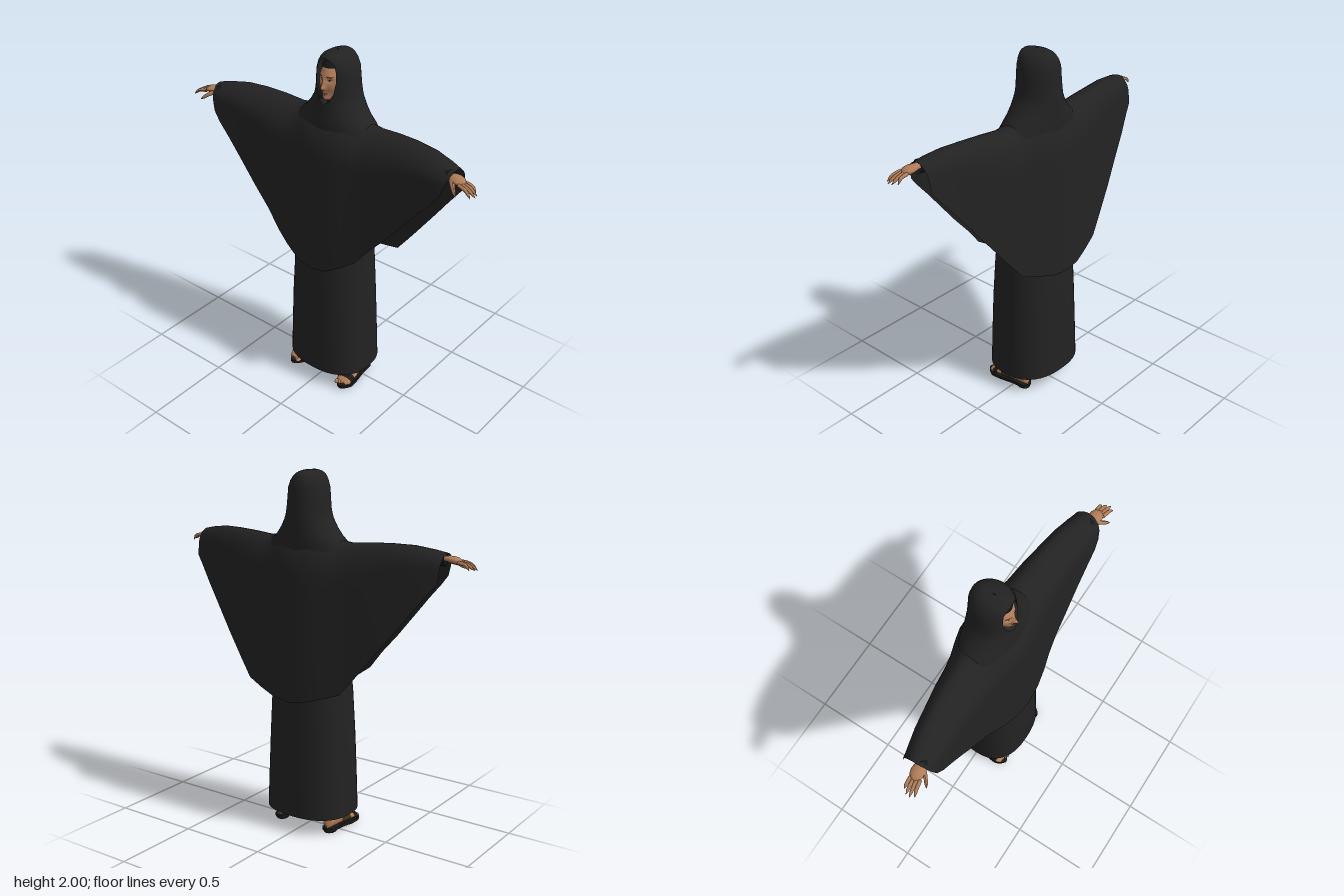
import * as THREE from 'three';

const mat = (name, color) => {
  const m = new THREE.MeshStandardMaterial({ color, side: THREE.DoubleSide });
  m.name = name;
  return m;
};
const M = {
  cloth: mat('blackCloth', 0x222222),
  under: mat('underCloth', 0x151515),
  skin: mat('skin', 0xb07c58),
  lips: mat('lips', 0x8e5844),
  eyeWhite: mat('eyeWhite', 0xb9a793),
  dark: mat('darkBrown', 0x2a1c14),
  sole: mat('soleBlack', 0x1b1a19),
  strap: mat('strapOlive', 0x43361f),
};

const add = (parent, name, geo, material) => {
  const mesh = new THREE.Mesh(geo, material);
  mesh.name = name;
  parent.add(mesh);
  return mesh;
};

// Skin a surface over rows of points; closed rows wrap around.
function loft(rows, closed) {
  const n = rows[0].length, idx = [];
  for (let i = 0; i < rows.length - 1; i++) {
    for (let j = 0; j < (closed ? n : n - 1); j++) {
      const a = i * n + j, b = i * n + (j + 1) % n;
      idx.push(a, b, a + n, b, b + n, a + n);
    }
  }
  const g = new THREE.BufferGeometry();
  g.setAttribute('position', new THREE.Float32BufferAttribute(rows.flat(2), 3));
  g.setIndex(idx);
  g.computeVertexNormals();
  return g;
}

const lerp = THREE.MathUtils.lerp;
const sample = (list, t) => {
  const f = t * (list.length - 1), i = Math.min(Math.floor(f), list.length - 2);
  return lerp(list[i], list[i + 1], f - i);
};

// Tapered tube through points, optionally flattened in height.
function limb(points, radii, flat = 1, n = 14) {
  const curve = new THREE.CatmullRomCurve3(points.map(p => new THREE.Vector3(...p)));
  const g = new THREE.TubeGeometry(curve, n, 1, 10), pos = g.attributes.position;
  const v = new THREE.Vector3();
  for (let k = 0; k < pos.count; k++) {
    const t = Math.floor(k / 11) / n, c = curve.getPointAt(t);
    v.fromBufferAttribute(pos, k).sub(c).multiplyScalar(sample(radii, t));
    pos.setXYZ(k, c.x + v.x, c.y + v.y * flat, c.z + v.z);
  }
  g.computeVertexNormals();
  return g;
}

// Horizontal rounded ring: half width rx, from zb (back) to zf (front).
function ring(y, rx, zf, zb, power = 1, start = 0, n = 48, closed = true) {
  const out = [], steps = closed ? n : n + 1;
  for (let j = 0; j < steps; j++) {
    const a = start + (Math.PI * 2 - 2 * start) * j / n;
    const s = Math.sin(a), c = Math.cos(a);
    out.push([rx * Math.sign(s) * Math.abs(s) ** power, y,
      (zf + zb) / 2 + (zf - zb) / 2 * Math.sign(c) * Math.abs(c) ** power]);
  }
  return out;
}

// Cape: each station gives the ridge, front hem and back hem points.
function capeGeometry() {
  const half = [
    [0, 1.70, -.02, 0, .79, .22, 0, .77, -.22],
    [.06, 1.70, -.02, .1, .81, .215, .1, .785, -.217],
    [.12, 1.69, -.02, .19, .865, .2, .2, .815, -.195],
    [.19, 1.645, -.02, .27, .92, .18, .3, .85, -.17],
    [.26, 1.637, -.02, .35, 1.02, .17, .38, .95, -.15],
    [.38, 1.647, -.015, .45, 1.13, .165, .48, 1.08, -.125],
    [.5, 1.652, -.005, .55, 1.25, .16, .58, 1.21, -.095],
    [.62, 1.65, .015, .64, 1.36, .158, .67, 1.33, -.07],
    [.72, 1.635, .04, .71, 1.44, .157, .74, 1.42, -.045],
    [.79, 1.62, .06, .75, 1.49, .15, .785, 1.475, -.03],
  ];
  const mirrored = half.slice(1).reverse().map(s => s.map((v, i) => (i % 3 ? v : -v)));
  const rows = 18;
  return loft([...mirrored, ...half].map(s => {
    const [tx, ty, tz] = s, line = [];
    const reach = lerp(.25, .08, Math.min(1, Math.abs(tx) / .7));
    for (let i = -rows; i <= rows; i++) {
      const [hx, hy, hz] = i < 0 ? s.slice(3, 6) : s.slice(6, 9);
      const v = (Math.abs(i) / rows) ** 1.7;
      const k = Math.min(1, v * (ty - hy) / reach);
      const out = Math.sqrt(1 - (1 - k) ** 2) * (.75 + .25 * v);
      line.push([lerp(tx, hx, v), lerp(ty, hy, v), lerp(tz, hz, out)]);
    }
    return line;
  }), false);
}

// Hood rings: height, half width, front, back, half width of face opening.
function hoodGeometry() {
  return loft([
    [1.55, .27, .13, -.15, 0], [1.62, .238, .125, -.15, 0], [1.66, .192, .118, -.148, 0],
    [1.70, .16, .112, -.147, 0], [1.738, .137, .107, -.146, 0], [1.76, .127, .104, -.145, .032],
    [1.80, .118, .1, -.143, .052], [1.86, .112, .1, -.14, .062], [1.91, .107, .098, -.138, .061],
    [1.945, .094, .095, -.13, .052], [1.968, .078, .09, -.118, .03], [1.978, .068, .085, -.11, 0],
    [1.99, .048, .068, -.092, 0], [1.997, .028, .045, -.07, 0], [2, .001, 0, -.02, 0],
  ].map(([y, rx, zf, zb, o]) => ring(y, rx, zf, zb, 1, Math.asin(o / rx), 48, false)), false);
}

// Face relief: nose, eye sockets, lips and chin as soft bumps.
const bump = (x, y, cx, cy, w, h) => Math.exp(-(((x - cx) / w) ** 2) - ((y - cy) / h) ** 2);
const relief = (x, y) => {
  const ax = Math.abs(x);
  return .022 * bump(x, y, 0, 1.828, .012, .014) + .012 * bump(x, y, 0, 1.85, .009, .025)
    - .009 * bump(ax, y, .027, 1.868, .015, .012) + .008 * bump(x, y, 0, 1.795, .02, .01)
    + .034 * bump(x, y, 0, 1.762, .032, .024) + .004 * bump(ax, y, .03, 1.89, .02, .008);
};
const HEAD = { rx: .078, ry: .115, rz: .11, y: 1.85, z: -.01 };
const faceZ = (x, y) => HEAD.z + relief(x, y)
  + HEAD.rz * Math.sqrt(Math.max(0, 1 - (x / HEAD.rx) ** 2 - ((y - HEAD.y) / HEAD.ry) ** 2));

function headGeometry() {
  const g = new THREE.SphereGeometry(1, 96, 72), p = g.attributes.position;
  for (let i = 0; i < p.count; i++) {
    const x = p.getX(i) * HEAD.rx, y = HEAD.y + p.getY(i) * HEAD.ry, z = p.getZ(i);
    p.setXYZ(i, x, y, HEAD.z + z * HEAD.rz + relief(x, y) * THREE.MathUtils.smoothstep(z, 0, .4));
  }
  g.computeVertexNormals();
  return g;
}

// Thin painted oval laid on the face.
function facePatch(cx, cy, rx, ry, lift) {
  const g = new THREE.CircleGeometry(1, 20), p = g.attributes.position;
  for (let i = 0; i < p.count; i++) {
    const x = cx + p.getX(i) * rx, y = cy + p.getY(i) * ry;
    p.setXYZ(i, x, y, faceZ(x, y) + lift);
  }
  g.computeVertexNormals();
  return g;
}

function addHand(root, s) {
  const hand = new THREE.Group();
  hand.name = s > 0 ? 'leftHand' : 'rightHand';
  const tube = (name, pts, radii, flat) =>
    add(hand, name, limb(pts.map(([x, y, z]) => [x * s, y, z]), radii, flat), M.skin);
  tube('palm', [[.72, 1.585, .08], [.79, 1.588, .083], [.86, 1.572, .095]], [.026, .026, .028, .036, .034, .008], .5);
  for (let i = 0; i < 4; i++) {
    const tip = [.905, .925, .93, .915][i], z = .07 + i * .016;
    tube('finger', [[.835, 1.577, z], [.885, 1.566, z + .003 * i], [tip, 1.54, z + .006 * i]], [.009, .01, .009, .008, .001]);
  }
  tube('thumb', [[.785, 1.578, .1], [.818, 1.558, .135], [.848, 1.533, .157]], [.014, .013, .01, .009, .001]);
  root.add(hand);
}

// Foot section at distance z along the foot: half width and height.
const FOOT = [[-.095, .004, .02], [-.085, .026, .06], [-.05, .034, .085], [-.01, .035, .085],
  [.04, .039, .066], [.09, .045, .048], [.13, .046, .034], [.155, .042, .026], [.17, .03, .016]];
function footBand(z0, z1, grow, n) {
  const rows = [];
  for (let i = 0; i <= n; i++) {
    const z = lerp(z0, z1, i / n);
    const k = Math.max(0, Math.min(FOOT.length - 2, FOOT.findIndex(f => f[0] >= z) - 1));
    const t = (z - FOOT[k][0]) / (FOOT[k + 1][0] - FOOT[k][0]);
    const w = lerp(FOOT[k][1], FOOT[k + 1][1], t) + grow, h = lerp(FOOT[k][2], FOOT[k + 1][2], t) / 2;
    rows.push(Array.from({ length: 20 }, (_, j) => {
      const a = j / 20 * Math.PI * 2;
      return [w * Math.cos(a), .025 + h + (h + grow) * Math.sin(a), z];
    }));
  }
  return loft(rows, true);
}

function addFoot(root, s) {
  const foot = new THREE.Group();
  foot.name = s > 0 ? 'leftFoot' : 'rightFoot';
  add(foot, 'foot', footBand(-.095, .17, 0, 24), M.skin);
  add(foot, 'ankle', limb([[0, .07, -.045], [0, .15, -.045], [0, .3, -.03]], [.03, .032, .042]), M.skin);
  for (let i = 0; i < 5; i++) {
    const toe = new THREE.SphereGeometry(1, 12, 8).scale(i ? .009 : .013, .011, .018);
    add(foot, 'toe', toe.translate(s * (-.031 + i * .0165), .035, .17 - i * .007), M.skin);
  }
  const outline = new THREE.Shape(new THREE.SplineCurve([[0, -.1], [.035, -.08], [.037, -.01], [.05, .09],
    [.046, .15], [0, .192], [-.046, .15], [-.05, .09], [-.037, -.01], [-.035, -.08], [0, -.1]]
    .map(p => new THREE.Vector2(...p))).getPoints(40));
  const sole = new THREE.ExtrudeGeometry(outline, { depth: .018, bevelEnabled: false });
  add(foot, 'sole', sole.rotateX(Math.PI / 2).translate(0, .028, 0), M.sole);
  add(foot, 'heel', new THREE.CylinderGeometry(.034, .032, .014, 24).scale(1, 1, 1.25).translate(0, .007, -.055), M.sole);
  add(foot, 'ballTread', new THREE.CylinderGeometry(.044, .04, .011, 24).scale(1, 1, 1.1).translate(0, .0055, .1), M.sole);
  add(foot, 'instepStrap', footBand(.005, .075, .004, 8), M.strap);
  add(foot, 'toeStrap', footBand(.105, .14, .004, 5), M.sole);
  foot.position.set(.17 * s, 0, .004);
  foot.rotation.y = .06 * s;
  root.add(foot);
}

export function createModel() {
  const root = new THREE.Group();
  root.name = 'robedFigure';

  // Garments
  add(root, 'cape', capeGeometry(), M.cloth);
  add(root, 'hood', hoodGeometry(), M.cloth);
  add(root, 'skirt', loft([[.1, .255, .228, -.2], [.3, .248, .222, -.193], [.55, .238, .212, -.184],
    [.8, .226, .195, -.172], [1, .213, .165, -.15], [1.2, .2, .135, -.122]]
    .map(r => ring(...r, .82)), true), M.cloth);
  add(root, 'bodice', loft([[1.2, .2, .135, -.122], [1.4, .18, .115, -.11], [1.55, .15, .07, -.085], [1.64, .06, .03, -.05]]
    .map(r => ring(...r, .82)), true), M.under);

  // Head
  add(root, 'head', headGeometry(), M.skin);
  add(root, 'headBand', new THREE.SphereGeometry(1, 40, 12, 0, Math.PI * 2, 0, .88)
    .scale(.086, .127, .122).translate(0, HEAD.y, HEAD.z), M.under);
  add(root, 'neck', limb([[0, 1.58, -.02], [0, 1.7, -.02], [0, 1.78, -.01]], [.06, .058, .058]), M.under);
  add(root, 'upperLip', facePatch(0, 1.799, .019, .0035, .0015), M.lips);
  add(root, 'lowerLip', facePatch(0, 1.791, .016, .004, .0015), M.lips);

  for (const s of [1, -1]) {
    add(root, 'eye', facePatch(.027 * s, 1.867, .011, .0045, .0015), M.eyeWhite);
    add(root, 'iris', facePatch(.027 * s, 1.867, .005, .0045, .0025), M.dark);
    add(root, 'eyelid', facePatch(.027 * s, 1.8725, .013, .0018, .0025), M.dark);
    add(root, 'eyebrow', facePatch(.029 * s, 1.887, .016, .0028, .0015), M.dark);
    // Arms
    add(root, 'sleeve', limb([[.1 * s, 1.56, -.02], [.4 * s, 1.58, .01], [.77 * s, 1.585, .08]], [.05, .048, .042, .036]), M.under);
    addHand(root, s);
    addFoot(root, s);
  }
  return root;
}
